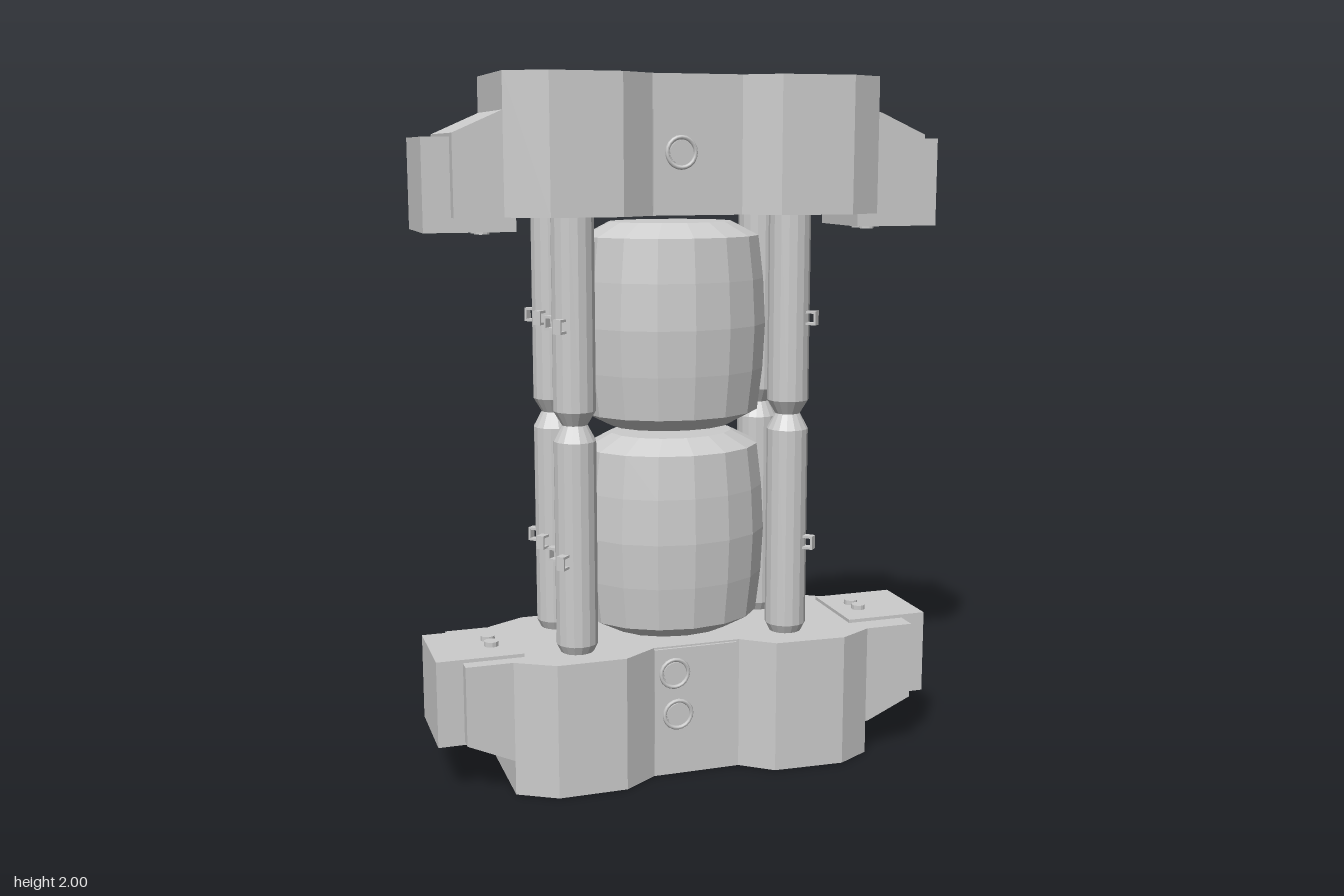
import * as THREE from 'three';

const material = new THREE.MeshStandardMaterial({ color: 0xcccccc, flatShading: true });
const smoothMaterial = new THREE.MeshStandardMaterial({ color: 0xcccccc });

function add(parent, name, geometry, x = 0, y = 0, z = 0, mat = material) {
  const mesh = new THREE.Mesh(geometry, mat);
  mesh.name = name;
  mesh.position.set(x, y, z);
  parent.add(mesh);
  return mesh;
}

// Box given by its limits on each axis
function span(parent, name, x0, x1, y0, y1, z0, z1) {
  return add(parent, name, new THREE.BoxGeometry(x1 - x0, y1 - y0, z1 - z0),
    (x0 + x1) / 2, (y0 + y1) / 2, (z0 + z1) / 2);
}

const polygon = (points) => new THREE.Shape(points.map(([x, y]) => new THREE.Vector2(x, y)));
const extrude = (shape, depth) => new THREE.ExtrudeGeometry(shape, { depth, bevelEnabled: false });
const lathe = (profile, sides) =>
  new THREE.LatheGeometry(profile.map(([r, y]) => new THREE.Vector2(r, y)), sides);

// Waisted outline of the end housings, as x, z
const outline = [
  [-0.54, 0.165], [-0.43, 0.23], [-0.23, 0.23], [-0.13, 0.165],
  [0.13, 0.165], [0.22, 0.235], [0.43, 0.245], [0.53, 0.19],
  [0.54, -0.155], [0.44, -0.22], [0.24, -0.23], [0.14, -0.18],
  [-0.13, -0.18], [-0.23, -0.24], [-0.43, -0.24], [-0.54, -0.18],
];

// Flat panel with raised round ports, on the front or back of a housing
function accessPanel(parent, [x0, x1, y0, y1], z, side, ports) {
  const group = new THREE.Group();
  group.name = side > 0 ? 'frontPanel' : 'backPanel';
  span(group, 'panelPlate', x0, x1, y0, y1, z - 0.02, z + 0.02);
  const face = z + side * 0.02;
  for (const [x, y] of ports) {
    add(group, 'portRing', new THREE.TorusGeometry(0.041, 0.006, 6, 20), x, y, face, smoothMaterial);
    add(group, 'portDisc', new THREE.CylinderGeometry(0.033, 0.033, 0.006, 20), x, y, face)
      .rotation.x = Math.PI / 2;
  }
  parent.add(group);
}

// End housing with sloped shoulders and end blocks; the upper one is turned over
function housing(upper) {
  const group = new THREE.Group();
  group.name = upper ? 'upperHousing' : 'lowerHousing';
  const Y = (y) => (upper ? 2 - y : y);
  const inner = upper ? 0.38 : 0.39;
  const slab = extrude(polygon(outline.map(([x, z]) => [x, -z])), inner).rotateX(-Math.PI / 2);
  add(group, 'housingBody', slab, 0, upper ? 2 - inner : 0, 0);

  for (const s of [-1, 1]) {
    const [z0, z1] = s > 0 ? [-0.155, 0.19] : [-0.175, 0.165];
    const shoulder = polygon([[s * 0.5, Y(0.09)], [s * 0.54, Y(0.1)], [s * 0.675, Y(0.16)],
      [s * 0.675, Y(inner)], [s * 0.5, Y(inner)]]);
    add(group, 'shoulder', extrude(shoulder, z1 - z0), 0, 0, z0);

    const [low, high] = upper ? [1.58, 1.83] : [0.15, 0.4];
    span(group, 'endBlock', Math.min(s * 0.5, s * 0.75), Math.max(s * 0.5, s * 0.75),
      low, high, -0.13, 0.125);
    // Paired bolts on the inner face of each block
    for (const z of [-0.03, 0.025])
      add(group, 'bolt', new THREE.CylinderGeometry(0.021, 0.021, 0.016, 12),
        s * 0.575, upper ? 1.578 : 0.406, z);
  }

  if (upper) {
    accessPanel(group, [-0.13, 0.12, 1.63, 1.905], 0.153, 1, [[-0.05, 1.79]]);
    accessPanel(group, [-0.17, 0.15, 1.64, 1.93], -0.18, -1, [[-0.04, 1.79]]);
    span(group, 'panelStud', -0.1, -0.09, 1.67, 1.68, -0.206, -0.19);
  } else {
    const ports = [[-0.07, 0.31], [-0.06, 0.185]];
    accessPanel(group, [-0.13, 0.12, 0.1, 0.385], 0.153, 1, ports);
    accessPanel(group, [-0.17, 0.15, 0.08, 0.385], -0.18, -1, ports);
  }
  return group;
}

// Bulging faceted drum, slightly oval, with chamfered ends
function drum(y, height) {
  const h = height / 2;
  const profile = [[0, -h], [0.18, -h], [0.258, -h + 0.04], [0.273, -0.13], [0.28, 0],
    [0.273, 0.13], [0.258, h - 0.04], [0.18, h], [0, h]];
  const geometry = lathe(profile, 16).scale(1, 1, 0.23 / 0.28);
  const mesh = new THREE.Mesh(geometry, material);
  mesh.name = 'drum';
  mesh.position.set(-0.02, y, -0.018);
  return mesh;
}

// Small open bracket projecting along +z
function clip() {
  const group = new THREE.Group();
  group.name = 'clip';
  span(group, 'clipTop', -0.012, 0.012, 0.013, 0.02, -0.01, 0.028);
  span(group, 'clipBottom', -0.012, 0.012, -0.02, -0.013, -0.01, 0.028);
  span(group, 'clipEnd', -0.012, 0.012, -0.02, 0.02, 0.022, 0.028);
  return group;
}

// Post in two sections that meet in a narrow neck, with clips on its outer side
function post(x, z, side) {
  const group = new THREE.Group();
  group.name = 'post';
  group.position.set(x, 0, z);
  add(group, 'lowerPost', lathe([[0, 0.385], [0.045, 0.385], [0.06, 0.415], [0.06, 1.0],
    [0.036, 1.045], [0, 1.045]], 16));
  add(group, 'upperPost', lathe([[0, 1.045], [0.036, 1.045], [0.06, 1.085],
    [0.06, 1.63], [0, 1.63]], 16));
  for (const y of [0.665, 1.325])
    for (const zSide of [-1, 1]) {
      const bracket = clip();
      const angle = Math.atan2(side, zSide);
      bracket.position.set(Math.sin(angle) * 0.06, y, Math.cos(angle) * 0.06);
      bracket.rotation.y = angle;
      group.add(bracket);
    }
  return group;
}

export function createModel() {
  const model = new THREE.Group();
  model.name = 'drumStack';
  model.add(housing(false), housing(true));
  model.add(drum(0.698, 0.585), drum(1.305, 0.585));
  for (const z of [0.112, -0.135])
    model.add(post(-0.343, z, -1), post(0.295, z, 1));
  return model;
}
